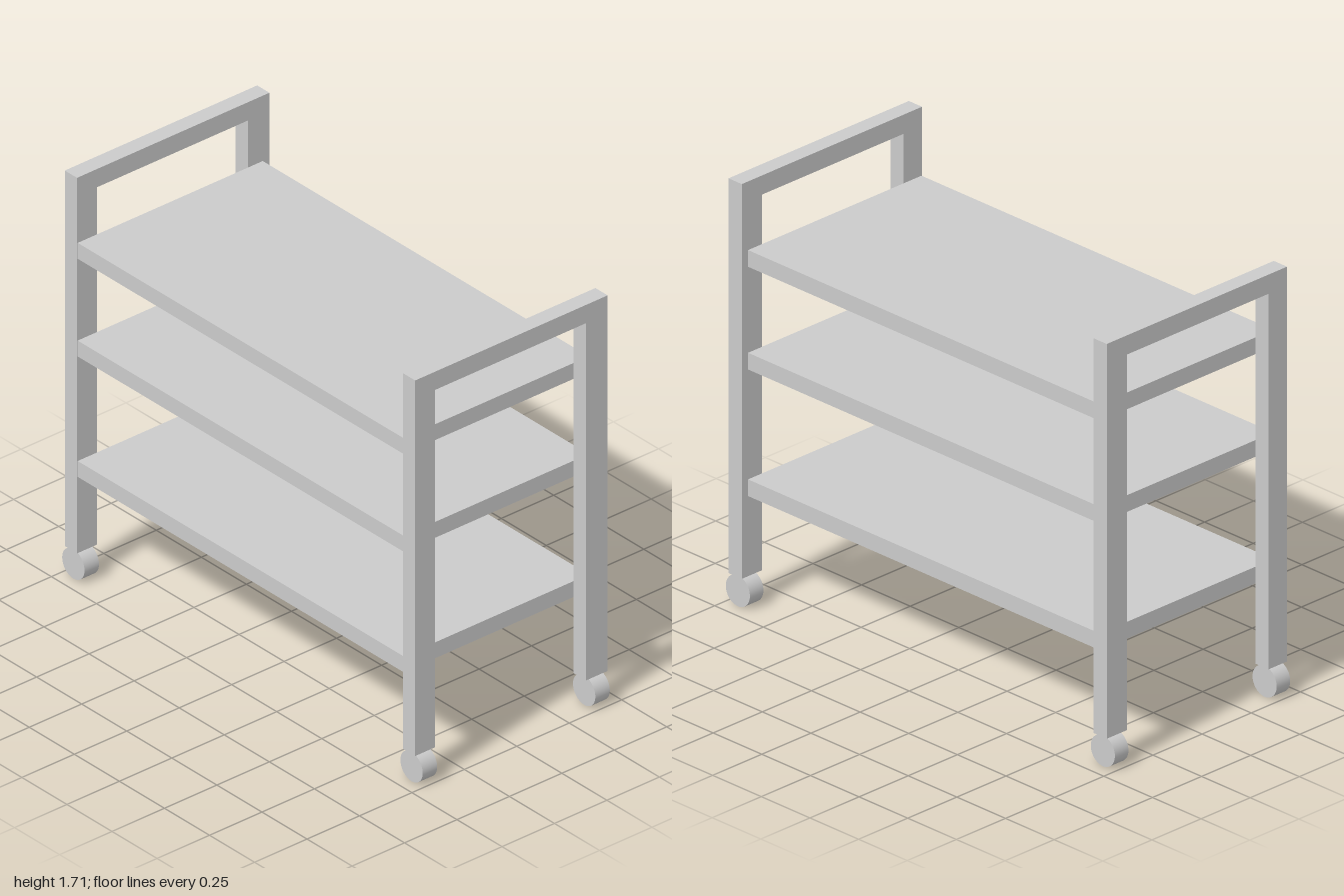
import * as THREE from 'three';

const material = new THREE.MeshStandardMaterial({ color: 0xcccccc });

function addMesh(parent, name, geometry, x, y, z) {
  const mesh = new THREE.Mesh(geometry, material);
  mesh.name = name;
  mesh.position.set(x, y, z);
  parent.add(mesh);
  return mesh;
}

// Upside-down U of square tube, cut from one flat outline
function endFrameGeometry(depth) {
  const outline = new THREE.Shape([
    [-0.46, 0.126], [-0.366, 0.126], [-0.366, 1.633], [0.354, 1.633],
    [0.354, 0.126], [0.457, 0.126], [0.457, 1.71], [-0.46, 1.71],
  ].map(([x, y]) => new THREE.Vector2(x, y)));
  return new THREE.ExtrudeGeometry(outline, { depth, bevelEnabled: false })
    .translate(0, 0, -depth / 2);
}

export function createModel() {
  const cart = new THREE.Group();
  cart.name = 'shelfCart';

  const frameZ = 0.938;
  const frameDepth = 0.068;
  const wheelRadius = 0.062;
  const frame = endFrameGeometry(frameDepth);
  const wheel = new THREE.CylinderGeometry(wheelRadius, wheelRadius, 0.069, 40).rotateZ(Math.PI / 2);

  // End frames, each standing on two wheels
  for (const [end, side] of [['front', 1], ['back', -1]]) {
    addMesh(cart, `${end}Frame`, frame, 0, 0, side * frameZ);
    addMesh(cart, `${end}RightWheel`, wheel, -0.414, wheelRadius, side * frameZ);
    addMesh(cart, `${end}LeftWheel`, wheel, 0.409, wheelRadius, side * frameZ);
  }

  // Shelves between the frames, flush with the right side and inset on the left
  const shelf = new THREE.BoxGeometry(0.882, 0.067, 2 * frameZ - frameDepth);
  [['lowerShelf', 0.481], ['middleShelf', 0.989], ['upperShelf', 1.401]].forEach(([name, y]) => {
    addMesh(cart, name, shelf, -0.016, y, 0);
  });

  return cart;
}
